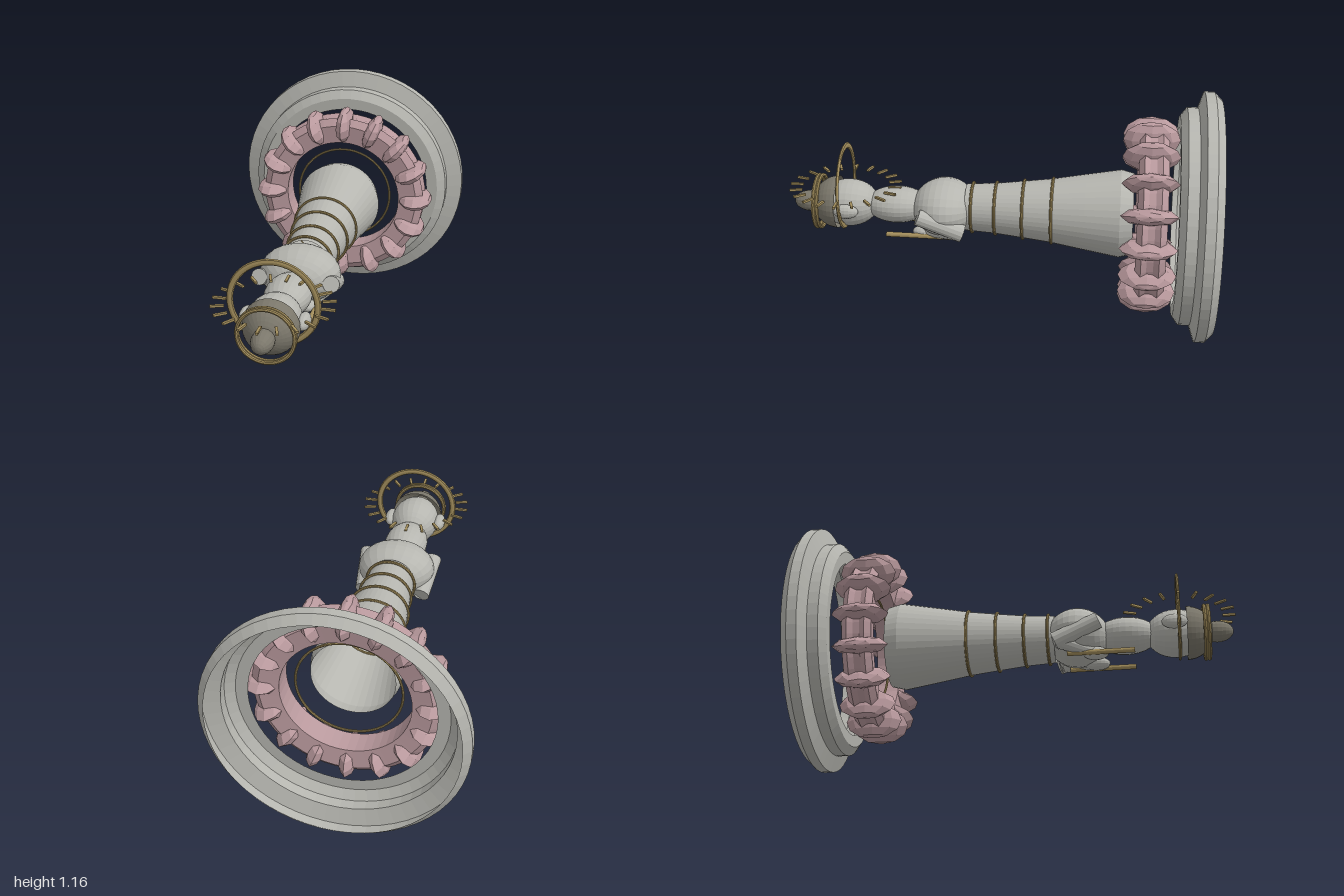
import * as THREE from 'three';

const V = (x, y) => new THREE.Vector2(x, y);

export function createModel() {
  const mat = (name, color) => {
    const m = new THREE.MeshStandardMaterial({ color, flatShading: true, side: THREE.DoubleSide });
    m.name = name;
    return m;
  };
  const stone = mat('grey stone', 0xb6b6b0);
  const pink = mat('lotus pink', 0xba9a9e);
  const gold = mat('dull gold', 0xa38e5c);
  const dark = mat('dark hair', 0x7b776b);

  const model = new THREE.Group();
  model.name = 'lyingStatue';
  // The figure is built upright, then laid along +z with its face down
  const statue = new THREE.Group();
  statue.name = 'statue';
  statue.rotation.x = Math.PI / 2;
  statue.position.y = 0.58;
  model.add(statue);

  const add = (name, geo, material, x = 0, y = 0, z = 0, parent = statue) => {
    const m = new THREE.Mesh(geo, material);
    m.name = name;
    m.position.set(x, y, z);
    parent.add(m);
    return m;
  };
  const lathe = (name, pts, material, seg) =>
    add(name, new THREE.LatheGeometry(pts.map(p => V(p[0], p[1])), seg), material);
  const ellipsoid = (name, material, r, p, w = 24, h = 16) =>
    add(name, new THREE.SphereGeometry(1, w, h).scale(...r), material, ...p);
  const hoop = (name, r, tube, y, z = 0, flat = 1) =>
    add(name, new THREE.TorusGeometry(r, tube, 8, 56).rotateX(Math.PI / 2).scale(1, flat, 1), gold, 0, y, z);
  // Tapered limb between two points
  const limb = (name, material, a, b, r1, r2) => {
    const p = new THREE.Vector3(...a), q = new THREE.Vector3(...b);
    const d = q.clone().sub(p);
    const m = add(name, new THREE.CylinderGeometry(r2, r1, d.length(), 14), material);
    m.position.copy(p).add(q).multiplyScalar(0.5);
    m.quaternion.setFromUnitVectors(new THREE.Vector3(0, 1, 0), d.normalize());
  };

  // Hollow stepped base
  lathe('base', [[0.545, -1], [0.58, -0.965], [0.58, -0.92], [0.505, -0.895],
    [0.505, -0.845], [0.465, -0.815], [0.41, -0.815]], stone, 56);

  // Lotus ring
  lathe('lotusRing', [[0.29, -0.76], [0.38, -0.77], [0.415, -0.74], [0.4, -0.715], [0.4, -0.685],
    [0.415, -0.66], [0.38, -0.635], [0.29, -0.645], [0.29, -0.76]], pink, 48);

  // Sixteen faceted petals around the ring, points facing outward
  const petals = new THREE.Group();
  petals.name = 'petals';
  statue.add(petals);
  const petalGeo = new THREE.SphereGeometry(1, 8, 6).rotateZ(-Math.PI / 2).scale(0.083, 0.13, 0.042);
  for (let i = 0; i < 16; i++) {
    const a = i * Math.PI / 8;
    const petal = add('petal', petalGeo, pink, Math.cos(a) * 0.373, -0.69, -Math.sin(a) * 0.373, petals);
    petal.rotation.y = a;
  }

  // Open robe with gold bands
  lathe('robe', [[0.19, -0.62], [0.205, -0.56], [0.178, -0.4], [0.15, -0.24], [0.134, -0.11],
    [0.119, 0.02], [0.11, 0.16]], stone, 40);
  [[0.153, -0.245], [0.138, -0.11], [0.123, 0.02], [0.117, 0.13]]
    .forEach(([r, y]) => hoop('robeBand', r, 0.007, y));
  hoop('looseHoop', 0.237, 0.006, -0.69);

  // Torso and neck
  ellipsoid('torso', stone, [0.185, 0.15, 0.13], [0, 0.265, 0]);
  ellipsoid('neck', stone, [0.105, 0.15, 0.085], [0, 0.49, 0]);

  // Head, hair and topknot
  ellipsoid('head', stone, [0.118, 0.14, 0.112], [0, 0.72, 0]);
  add('hair', new THREE.SphereGeometry(0.125, 28, 10, 0, Math.PI * 2, 0, Math.PI / 2), dark, 0, 0.77, 0);
  ellipsoid('topknot', dark, [0.05, 0.075, 0.05], [0, 0.91, 0], 16, 12);
  hoop('headBand', 0.124, 0.009, 0.853);
  hoop('headBand', 0.124, 0.009, 0.87);

  // Arms, hands, ears and rods, mirrored
  for (const s of [-1, 1]) {
    limb('upperArm', stone, [s * 0.165, 0.37, -0.01], [s * 0.14, 0.165, 0.075], 0.038, 0.042);
    limb('forearm', stone, [s * 0.14, 0.185, 0.07], [s * 0.06, 0.35, 0.105], 0.038, 0.028);
    ellipsoid('hand', stone, [0.04, 0.06, 0.03], [s * 0.06, 0.35, 0.108], 14, 10);
    ellipsoid('ear', stone, [0.03, 0.06, 0.035], [s * 0.125, 0.715, -0.005], 14, 10);
    limb('rod', gold, [s * 0.095, 0.22, 0.118], [s * 0.095, 0.53, 0.115], 0.012, 0.012);
  }

  // Halo hoop and ring of rays behind the head
  hoop('halo', 0.19, 0.015, 0.735, -0.085, 0.5);
  const rays = new THREE.Group();
  rays.name = 'rays';
  statue.add(rays);
  for (let i = 0; i < 20; i++) {
    const a = i * Math.PI / 10;
    const ray = add('ray', new THREE.BoxGeometry(0.06, 0.012, 0.01), gold,
      Math.cos(a) * 0.235, 0.735 + Math.sin(a) * 0.235, -0.083, rays);
    ray.rotation.z = a;
  }
  return model;
}
